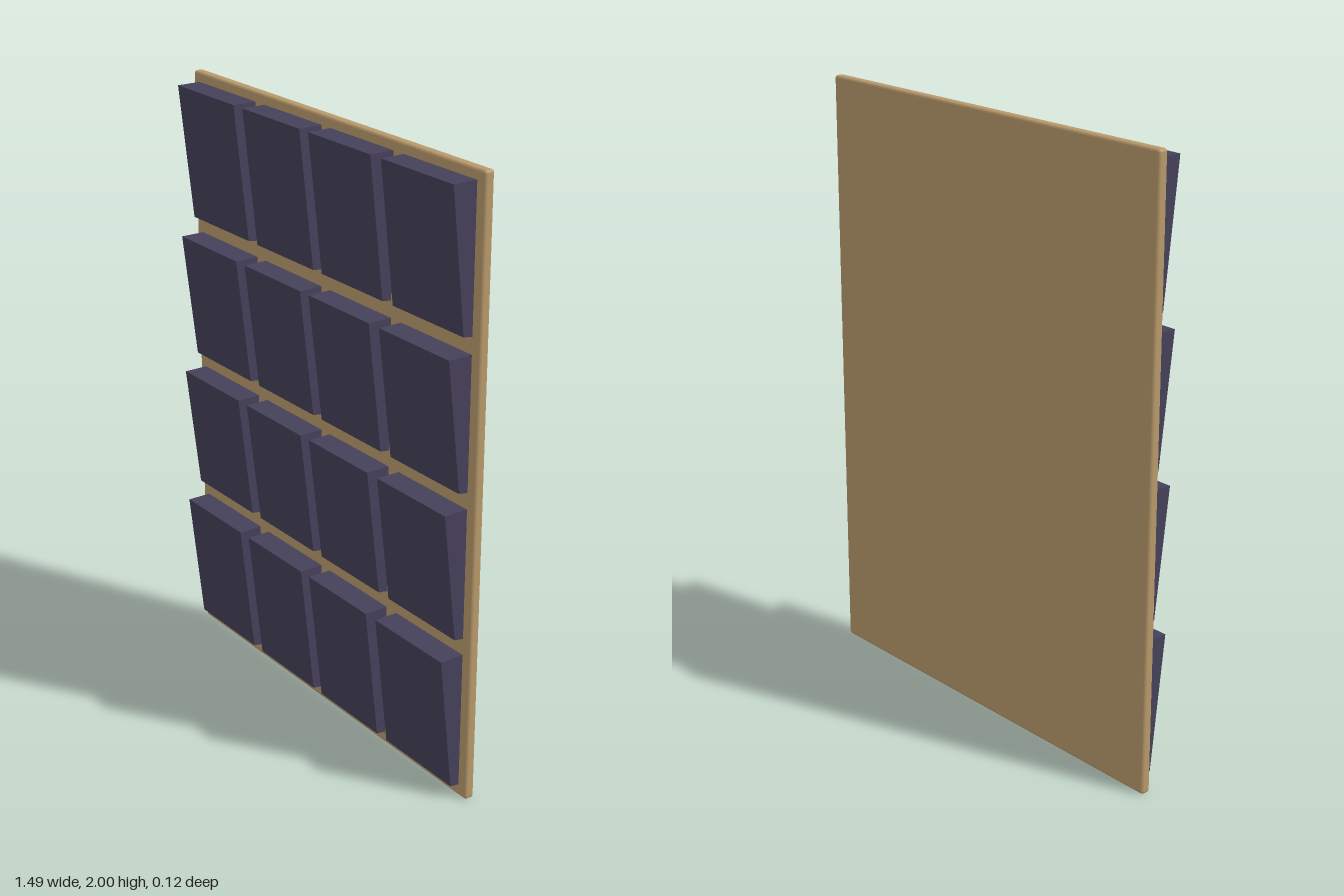
import * as THREE from 'three';
import { RoundedBoxGeometry } from 'three/addons/geometries/RoundedBoxGeometry.js';

const BACK = -0.058, FACE = -0.024; // board depth range
const columns = [[-0.71, -0.382], [-0.332, -0.023], [0.023, 0.332], [0.382, 0.71]];
const rows = [[0.04, 0.495], [0.55, 0.977], [1.03, 1.458], [1.512, 1.967]];

// Wedge block: thin at the bottom, leaning outward toward the top
function wedge(width, height) {
  const side = new THREE.Shape([
    new THREE.Vector2(FACE - 0.004, 0),
    new THREE.Vector2(0.008, 0.005),
    new THREE.Vector2(0.058, height),
    new THREE.Vector2(FACE - 0.004, height),
  ]);
  const geometry = new THREE.ExtrudeGeometry(side, { depth: width, bevelEnabled: false });
  geometry.translate(0, 0, -width / 2);
  geometry.rotateY(-Math.PI / 2); // profile x becomes z
  return geometry;
}

export function createModel() {
  const model = new THREE.Group();
  model.name = 'wedgePanel';
  const wood = new THREE.MeshStandardMaterial({ color: 0xb8996b });
  const dark = new THREE.MeshStandardMaterial({ color: 0x45405a });

  // Backing board with softened edges
  const board = new THREE.Mesh(new RoundedBoxGeometry(1.49, 2, FACE - BACK, 2, 0.01), wood);
  board.name = 'backingBoard';
  board.position.set(0, 1, (FACE + BACK) / 2);
  model.add(board);

  // Four by four grid of sloped blocks
  const blocks = new THREE.Group();
  blocks.name = 'slopedBlocks';
  rows.forEach(([y0, y1], r) => columns.forEach(([x0, x1], c) => {
    const block = new THREE.Mesh(wedge(x1 - x0, y1 - y0), dark);
    block.name = `block_row${r + 1}_column${c + 1}`;
    block.position.set((x0 + x1) / 2, y0, 0);
    blocks.add(block);
  }));
  model.add(blocks);
  return model;
}
